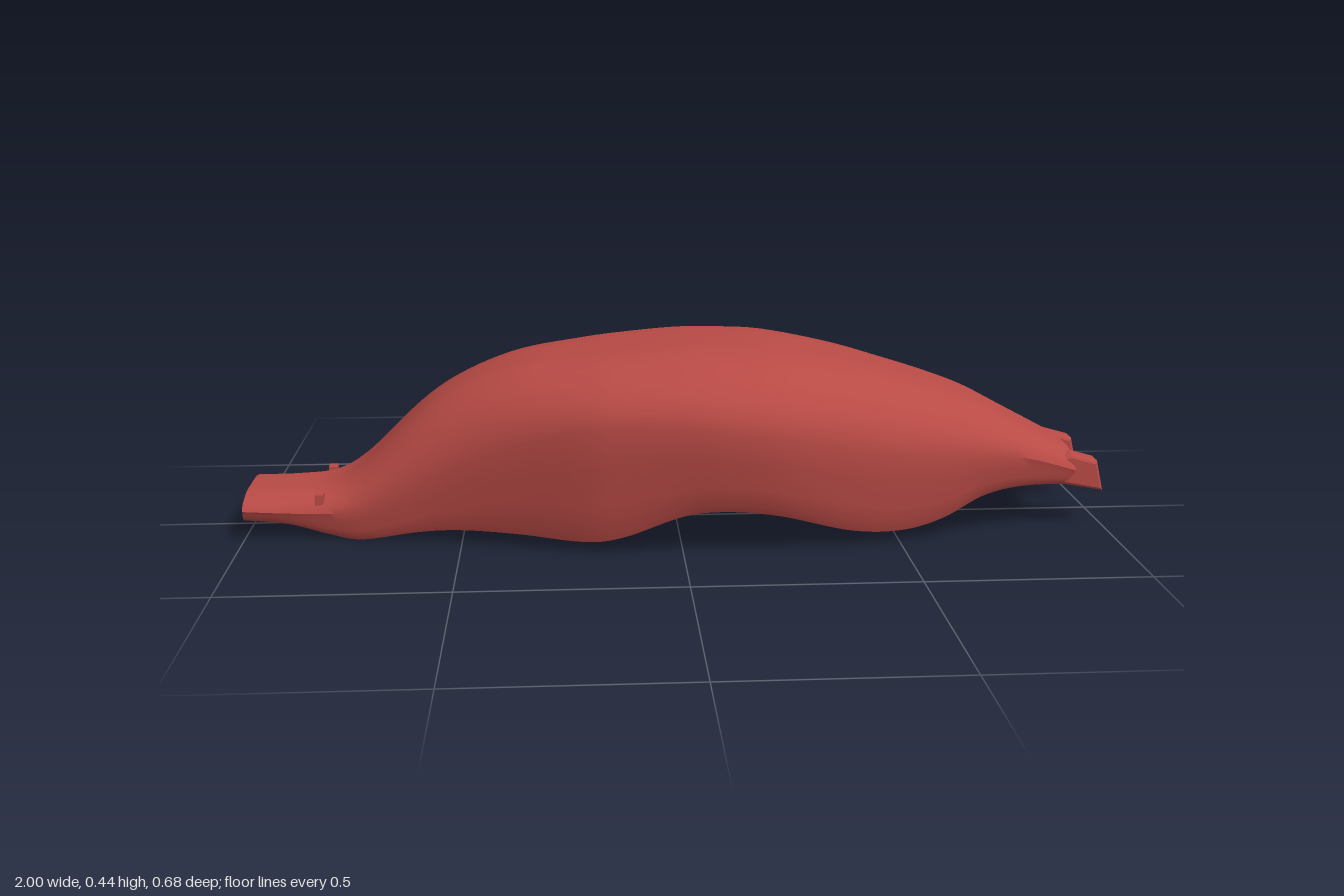
import * as THREE from 'three';
import { toCreasedNormals } from 'three/addons/utils/BufferGeometryUtils.js';

// Stations along the body: x, top, bottom, half width, height of the widest line
const STATIONS = [
  [-1, 0.1, 0.045, 0.135, 0.07],
  [-0.9, 0.103, 0.035, 0.137, 0.065],
  [-0.81, 0.113, 0.012, 0.145, 0.065],
  [-0.73, 0.158, 0, 0.158, 0.075],
  [-0.6, 0.28, 0.022, 0.182, 0.14],
  [-0.5, 0.345, 0.032, 0.208, 0.19],
  [-0.37, 0.393, 0.032, 0.25, 0.245],
  [-0.22, 0.415, 0.025, 0.3, 0.285],
  [-0.13, 0.425, 0.04, 0.318, 0.295],
  [0, 0.435, 0.09, 0.335, 0.295],
  [0.1, 0.435, 0.1, 0.34, 0.285],
  [0.22, 0.428, 0.085, 0.332, 0.268],
  [0.38, 0.397, 0.04, 0.3, 0.238],
  [0.5, 0.363, 0.03, 0.272, 0.212],
  [0.6, 0.332, 0.05, 0.248, 0.2],
  [0.7, 0.295, 0.095, 0.22, 0.192],
  [0.8, 0.243, 0.108, 0.188, 0.18],
  [0.93, 0.175, 0.098, 0.14, 0.135],
];

const columns = [1, 2, 3, 4].map(
  (c) => new THREE.SplineCurve(STATIONS.map((s) => new THREE.Vector2(s[0], s[c]))),
);

// Closed cross-section, from the crown down the left side and back up the right
function section(t) {
  const [top, bottom, w, waist] = columns.map((c) => c.getPoint(t).y);
  const x = columns[0].getPoint(t).x;
  const up = (f) => waist + (top - waist) * f;
  const down = (f) => bottom + (waist - bottom) * f;
  const lift = Math.min(0.06, 0.02 + 0.3 * Math.min(x + 1, 0.93 - x));
  const inner = 0.1;
  const foot = Math.max(0.9 * w, inner + 0.02);
  const half = [
    [0.23 * w, up(0.998)],
    [0.44 * w, up(0.98)],
    [0.6 * w, up(0.87)],
    [0.76 * w, up(0.7)],
    [0.9 * w, up(0.5)],
    [0.965 * w, up(0.26)],
    [w, waist],
    [0.965 * w, down(0.66)],
    [0.945 * w, down(0.33)],
    [foot + 0.01 * w, down(0.1)],
    [foot - 0.02 * w, bottom],
    [inner, bottom],
    [inner - 0.008, bottom + lift * 0.8],
    [inner - 0.03, bottom + lift],
  ];
  const ring = [
    [0, top],
    ...half,
    [0, bottom + lift + 0.003],
    ...half.slice().reverse().map(([z, y]) => [-z, y]),
  ];
  return ring.map(([z, y]) => new THREE.Vector3(x, y, z));
}

// Loft the sections and close both ends
function bodyGeometry(steps = 90) {
  const rings = [];
  for (let i = 0; i <= steps; i++) rings.push(section(i / steps));
  const n = rings[0].length;
  const index = [];
  for (let i = 0; i < steps; i++) {
    for (let j = 0; j < n; j++) {
      const k = (j + 1) % n;
      const a = i * n + j, b = i * n + k;
      index.push(a, b, b + n, a, b + n, a + n);
    }
  }
  for (const [ring, base, flip] of [[rings[0], 0, true], [rings[steps], steps * n, false]]) {
    const outline = ring.map((p) => new THREE.Vector2(-p.z, p.y));
    for (const [a, b, c] of THREE.ShapeUtils.triangulateShape(outline, [])) {
      if (flip) index.push(base + a, base + c, base + b);
      else index.push(base + a, base + b, base + c);
    }
  }
  const g = new THREE.BufferGeometry().setFromPoints(rings.flat());
  g.setIndex(index);
  return toCreasedNormals(g, 0.6);
}

// Side profile of a mounting prong, extruded across z
function prongGeometry() {
  const profile = new THREE.Shape(
    [[0.87, 0.115], [0.915, 0.105], [0.992, 0.09], [0.977, 0.148], [0.92, 0.164], [0.9, 0.16]]
      .map(([x, y]) => new THREE.Vector2(x, y)),
  );
  const g = new THREE.ExtrudeGeometry(profile, {
    depth: 0.042, bevelEnabled: true, bevelSize: 0.008, bevelThickness: 0.012, bevelSegments: 2,
  });
  return g.translate(0, 0, -0.021);
}

export function createModel() {
  const red = new THREE.MeshStandardMaterial({ color: 0xb84a45 });
  red.name = 'brick red';
  const group = new THREE.Group();
  group.name = 'curvedCover';
  const add = (name, geometry, x = 0, y = 0, z = 0) => {
    const mesh = new THREE.Mesh(geometry, red);
    mesh.name = name;
    mesh.position.set(x, y, z);
    group.add(mesh);
    return mesh;
  };

  add('body', bodyGeometry());

  // Mirrored prongs at one end, small ribs beside the flat tongue at the other
  const prong = prongGeometry();
  const rib = new THREE.BoxGeometry(0.02, 0.045, 0.03);
  for (const [side, s] of [['left', 1], ['right', -1]]) {
    add(side + 'Prong', prong, 0, 0, s * 0.104);
    add(side + 'Rib', rib, -0.825, 0.083, s * 0.118);
  }
  return group;
}
